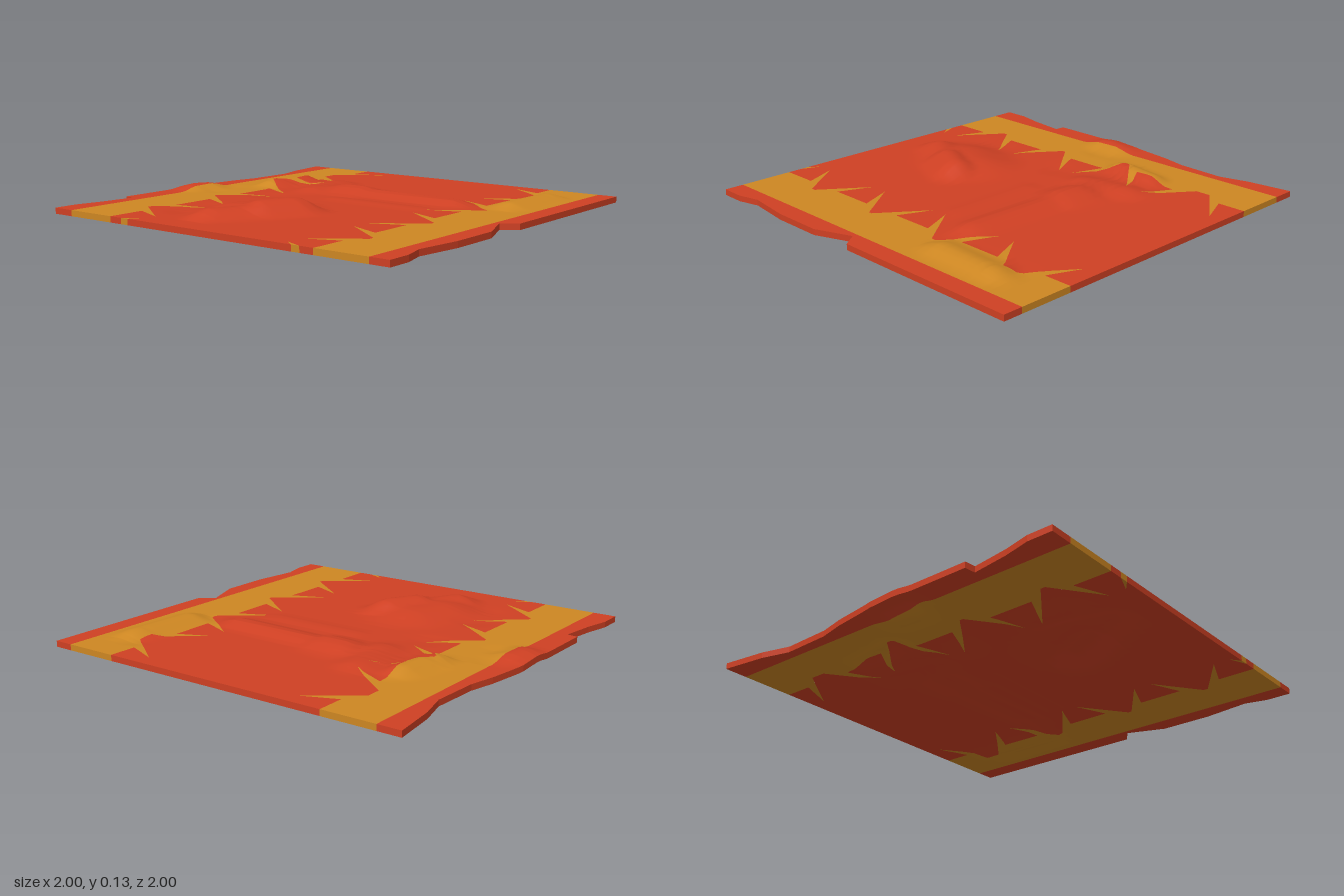
import * as THREE from 'three';
import { mergeVertices } from 'three/addons/utils/BufferGeometryUtils.js';

const { lerp, clamp } = THREE.MathUtils;

// Worn outlines of the two long sides, as [z, x]
const rightSide = [[-1, -1], [-0.77, -0.97], [-0.62, -0.93], [-0.37, -0.94], [-0.235, -0.97], [-0.01, -1],
  [0.548, -1], [0.554, -0.945], [0.74, -0.97], [0.875, -1], [1, -1]];
const leftSide = [[-1, 1], [0, 1], [0.055, 0.925], [0.25, 1], [0.52, 1], [0.76, 0.97], [0.875, 1], [1, 1]];

// Woven points along the bands: centre z, half length, half width of the blunt end
const motifs = [[-0.712, 0.212, 0.04], [-0.225, 0.185, 0.012], [0.232, 0.183, 0.01],
  [0.693, 0.183, 0.012], [1.15, 0.19, 0.01]];

// Folds (raised) and sags (lowered): ax, az, bx, bz, width, height
const folds = [
  [0, 0.38, -0.08, 0.53, 0.18, 0.07], [-0.08, 0.53, -0.2, 0.74, 0.16, 0.046], [-0.14, 0.4, -0.2, 0.55, 0.3, 0.045],
  [-0.2, -0.29, 0.48, -0.26, 0.13, 0.028], [-0.2, -0.29, -0.1, -0.28, 0.18, 0.04],
  [-0.1, -0.05, 0.4, -0.05, 0.08, 0.008], [-0.4, -0.45, -0.35, -0.2, 0.15, 0.025],
  [-0.65, -0.2, -0.61, -0.42, 0.12, 0.04], [0.73, -0.35, 0.75, -0.7, 0.14, 0.036],
  [-0.91, 0.13, -0.89, 0.05, 0.15, 0.03],
];
const sags = [
  [-0.82, 0.1, -0.83, 0, 0.13, 0.027], [-0.45, 0.5, -0.43, 0.65, 0.16, 0.02],
  [-0.43, 0.05, -0.43, 0.06, 0.14, 0.018], [0.68, -0.3, 0.7, -0.75, 0.12, 0.026],
];

function along(path, z) {
  let i = 1;
  while (i < path.length - 1 && path[i][0] < z) i++;
  const [z0, x0] = path[i - 1], [z1, x1] = path[i];
  return lerp(x0, x1, clamp((z - z0) / (z1 - z0), 0, 1));
}

// Highest of several rounded ridges, each falling off around a line
function ridges(list, x, z) {
  let best = 0;
  for (const [ax, az, bx, bz, w, h] of list) {
    const dx = bx - ax, dz = bz - az;
    const t = clamp(((x - ax) * dx + (z - az) * dz) / (dx * dx + dz * dz), 0, 1);
    const d = Math.hypot(x - ax - dx * t, z - az - dz * t);
    if (d < w) best = Math.max(best, h * (0.5 + 0.5 * Math.cos(Math.PI * d / w)));
  }
  return best;
}

const topY = (x, z) => 0.06 + ridges(folds, x, z) - 0.4 * ridges(sags, x, z);
function bottomY(x, z) {
  const sag = ridges(sags, x, z);
  return 0.03 + ridges(folds, x, z) * 0.9 * (1 - sag / 0.03) - sag;
}

// Colour borders of one band at z: edge of band, red triangle, gold spike
function borders(z) {
  let spikeOuter = -0.43, spikeInner = -0.43;
  for (const [c, h, p] of motifs) {
    const d = Math.abs(z - c), root = h - 0.07;
    if (d >= h) continue;
    spikeInner = lerp(-0.665, -0.43, clamp((d - p) / (h - p), 0, 1));
    spikeOuter = Math.min(spikeInner, lerp(-0.6, -0.43, clamp((d - root) / (h - root), 0, 1)));
  }
  return [-0.88, Math.min(-0.6, spikeOuter), spikeOuter, spikeInner];
}

// Cross-lines at every corner of the pattern and outline, plus an even spacing
function crossLines() {
  const zs = [...rightSide, ...leftSide].map((p) => p[0]);
  for (let i = 0; i <= 50; i++) zs.push(-1 + i * 0.04);
  for (const [c, h, p] of motifs) {
    for (const d of [p, p + (h - p) * 0.277, h - 0.07, h]) zs.push(c - d, c + d);
  }
  return zs.filter((z) => z >= -1 && z <= 1).sort((a, b) => a - b)
    .filter((z, i, all) => i === 0 || z - all[i - 1] > 1e-4);
}

const steps = [4, 8, 4, 2, 28, 2, 4, 8, 4];
const colourOfStrip = [0, 1, 0, 1, 0, 1, 0, 1, 0];
const columnColours = steps.flatMap((n, i) => Array(n).fill(colourOfStrip[i]));

function rowXs(z) {
  const b = borders(z);
  const stops = [along(rightSide, z), ...b, ...b.map((x) => 0.02 - x).reverse(), along(leftSide, z)];
  const xs = [stops[0]];
  steps.forEach((n, s) => {
    for (let k = 1; k <= n; k++) xs.push(lerp(stops[s], stops[s + 1], k / n));
  });
  return xs;
}

// Surface through rows of points, one colour per column
function sheet(rows, colours, smooth) {
  const width = rows[0].length, faces = [[], []];
  const points = rows.flat();
  const add = (list, a, b, c) => {
    const [p, q, r] = [points[a], points[b], points[c]];
    if (p.distanceTo(q) > 1e-4 && q.distanceTo(r) > 1e-4 && r.distanceTo(p) > 1e-4) list.push(a, b, c);
  };
  for (let i = 0; i < rows.length - 1; i++) {
    for (let j = 0; j < width - 1; j++) {
      const a = i * width + j, c = a + width;
      add(faces[colours[j]], a, c, a + 1);
      add(faces[colours[j]], a + 1, c, c + 1);
    }
  }
  let geo = new THREE.BufferGeometry().setFromPoints(points);
  geo.setIndex([...faces[0], ...faces[1]]);
  geo.addGroup(0, faces[0].length, 0);
  geo.addGroup(faces[0].length, faces[1].length, 1);
  geo = smooth ? mergeVertices(geo, 1e-5) : geo.toNonIndexed();
  geo.computeVertexNormals();
  return geo;
}

export function createModel() {
  const red = new THREE.MeshStandardMaterial({ color: 0xcf4023 });
  red.name = 'red wool';
  const gold = new THREE.MeshStandardMaterial({ color: 0xce8722 });
  gold.name = 'gold wool';

  const rug = new THREE.Group();
  rug.name = 'rug';
  const addPart = (name, rows, colours, smooth) => {
    const mesh = new THREE.Mesh(sheet(rows, colours, smooth), [red, gold]);
    mesh.name = name;
    rug.add(mesh);
  };

  const zs = crossLines();
  const grid = (height) => zs.map((z) => rowXs(z).map((x) => new THREE.Vector3(x, height(x, z), z)));
  const top = grid(topY), bottom = grid(bottomY);
  const last = zs.length - 1;
  const firstOf = (rows) => rows.map((r) => r[0]);
  const lastOf = (rows) => rows.map((r) => r[r.length - 1]);
  const plain = Array(last).fill(0);

  // Faces
  addPart('topFace', top, columnColours, true);
  addPart('underside', [...bottom].reverse(), columnColours, true);

  // Edges
  addPart('frontEdge', [top[last], bottom[last]], columnColours, false);
  addPart('backEdge', [bottom[0], top[0]], columnColours, false);
  addPart('rightEdge', [firstOf(top), firstOf(bottom)], plain, false);
  addPart('leftEdge', [lastOf(bottom), lastOf(top)], plain, false);
  return rug;
}
